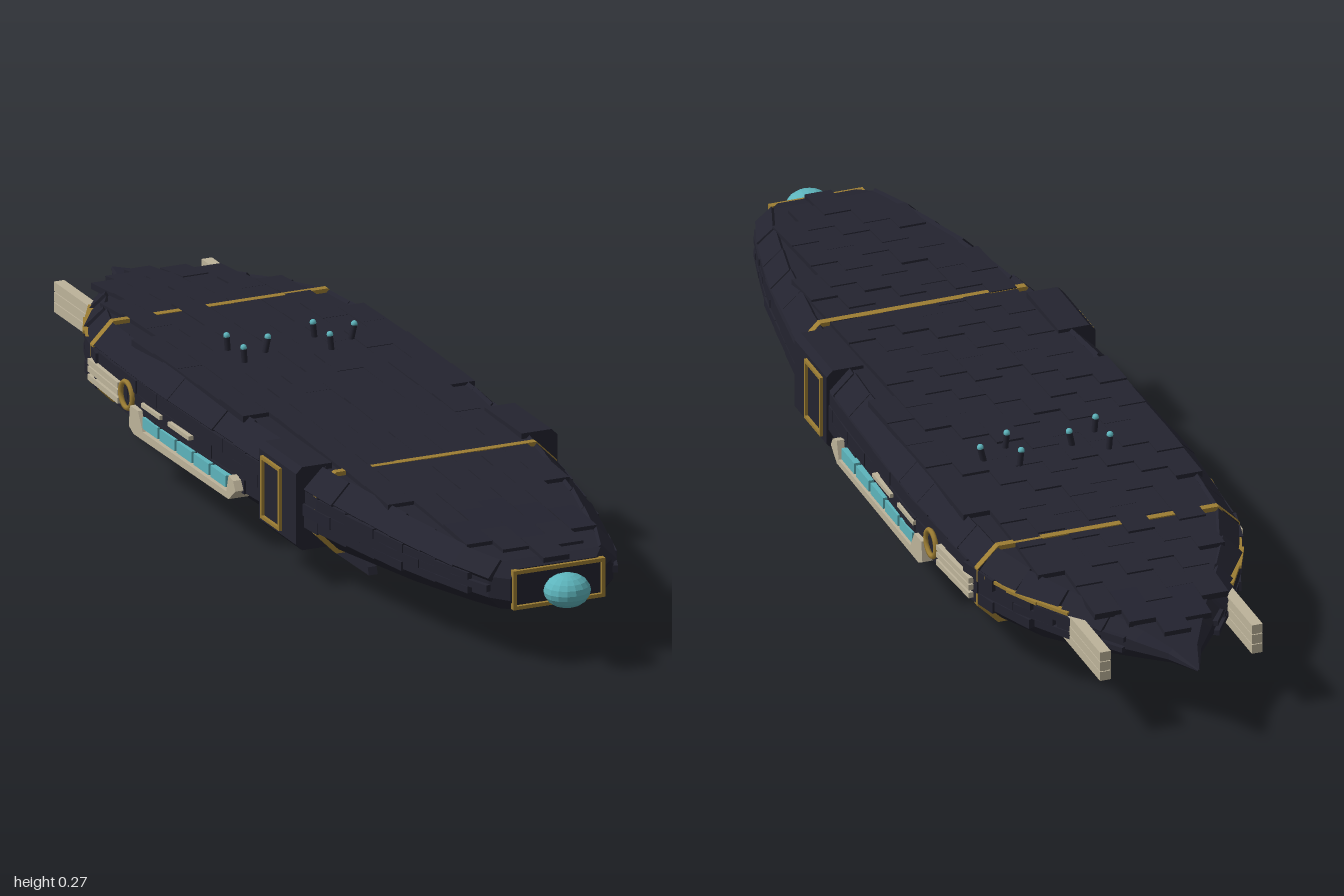
import * as THREE from 'three';
import { mergeGeometries } from 'three/addons/utils/BufferGeometryUtils.js';

const mat = (name, color) => Object.assign(new THREE.MeshStandardMaterial({ color }), { name });

// hull stations: z, half width, top, bottom, chamfer
const STATIONS = [
  [0.92, 0.095, 0.190, 0.112, 0.018], [0.89, 0.125, 0.197, 0.107, 0.025], [0.82, 0.150, 0.200, 0.102, 0.03],
  [0.65, 0.193, 0.210, 0.092, 0.034], [0.40, 0.233, 0.220, 0.080, 0.036], [0.10, 0.254, 0.228, 0.073, 0.038],
  [-0.25, 0.263, 0.229, 0.072, 0.038], [-0.54, 0.248, 0.219, 0.079, 0.036], [-0.66, 0.205, 0.208, 0.088, 0.034],
  [-0.78, 0.135, 0.196, 0.104, 0.028], [-0.87, 0.075, 0.180, 0.124, 0.018], [-0.93, 0.032, 0.166, 0.138, 0.008],
  [-1.00, 0.002, 0.153, 0.149, 0.001],
];

// interpolated section [half width, top, bottom, chamfer] at any z
function section(z) {
  let i = 0;
  while (i < STATIONS.length - 2 && z < STATIONS[i + 1][0]) i++;
  const a = STATIONS[i], b = STATIONS[i + 1];
  const t = THREE.MathUtils.clamp((a[0] - z) / (a[0] - b[0]), 0, 1);
  return [1, 2, 3, 4].map((k) => a[k] + (b[k] - a[k]) * t);
}
const slope = (z, k) => (section(z + 0.03)[k] - section(z - 0.03)[k]) / 0.06;

// octagon, anticlockwise seen from the front
function octagon([w, t, b, c], grow = 0) {
  w += grow; t += grow; b -= grow; c += grow * 0.6;
  return [[w, b + c], [w, t - c], [w - c, t], [c - w, t], [-w, t - c], [-w, b + c], [c - w, b], [w - c, b]]
    .map(([x, y]) => new THREE.Vector2(x, y));
}

function hullGeometry() {
  const rings = STATIONS.map((s) => octagon(s.slice(1)).map((p) => [p.x, p.y, s[0]]));
  const v = [];
  const tri = (...p) => p.forEach((q) => v.push(...q));
  for (let i = 0; i < rings.length - 1; i++) {
    for (let j = 0; j < 8; j++) {
      const k = (j + 1) % 8, f = rings[i], r = rings[i + 1];
      tri(f[j], r[j], r[k]);
      tri(f[j], r[k], f[k]);
    }
  }
  const nose = rings[0];
  for (let j = 1; j < 7; j++) tri(nose[0], nose[j], nose[j + 1]);
  const g = new THREE.BufferGeometry();
  g.setAttribute('position', new THREE.Float32BufferAttribute(v, 3));
  g.computeVertexNormals();
  return g;
}

// box placed with pitch, yaw and roll
function slab(size, pos, pitch = 0, yaw = 0, roll = 0) {
  const m = new THREE.Matrix4().makeRotationFromEuler(new THREE.Euler(pitch, yaw, roll, 'YXZ'));
  return new THREE.BoxGeometry(...size).applyMatrix4(m.setPosition(...pos));
}

// side profile of [z, y] points, extruded to thickness about x
function sideProfile(points, thickness, x) {
  const shape = new THREE.Shape(points.map(([z, y]) => new THREE.Vector2(z, y)));
  return new THREE.ExtrudeGeometry(shape, { depth: thickness, bevelEnabled: false })
    .translate(0, 0, -thickness / 2).rotateY(-Math.PI / 2).translate(x, 0, 0);
}

// rectangular frame of four bars in the xy plane
function frame(w, h, bar, depth) {
  return mergeGeometries([-1, 1].flatMap((s) => [
    slab([w, bar, depth], [0, s * (h - bar) / 2, 0]),
    slab([bar, h - 2 * bar, depth], [s * (w - bar) / 2, 0, 0]),
  ]));
}

export function createModel() {
  const dark = mat('dark hull', 0x23232f), gold = mat('gold trim', 0x9c7d33);
  const teal = mat('teal light', 0x5db4bc), bone = mat('pale metal', 0xbdb39a);
  const model = new THREE.Group();
  const add = (name, geometry, material) => {
    const mesh = new THREE.Mesh(geometry, material);
    mesh.name = name;
    model.add(mesh);
    return mesh;
  };
  let seed = 7;
  const rand = () => (seed = (seed * 16807) % 2147483647) / 2147483647;

  add('hull', hullGeometry(), dark);

  // staggered plates over the deck
  const deck = [];
  for (let i = -4; i <= 4; i++) {
    const x = i * 0.052;
    for (let z = 0.87 - (Math.abs(i) % 2) * 0.05 - rand() * 0.02; z > -0.86; z -= 0.095) {
      const [w, t, , c] = section(z);
      if (Math.abs(x) > w - c - 0.01) continue;
      deck.push(slab([0.052, 0.012, 0.1], [x, t + rand() * 0.003, z], -Math.atan(slope(z, 1)) + 0.02));
    }
  }
  add('deckPlates', mergeGeometries(deck), dark);

  // plates over the chamfers and sides
  const sides = [];
  for (const s of [-1, 1]) {
    for (let row = 0; row < 4; row++) {
      for (let z = 0.85 - (row % 2) * 0.045; z > -0.84; z -= 0.09) {
        const [w, t, b, c] = section(z), yaw = Math.atan(s * slope(z, 0)), out = rand() * 0.004;
        if (row === 0) {
          sides.push(slab([c * 1.5, 0.012, 0.094], [s * (w - c / 2 + out), t - c / 2, z],
            -Math.atan(slope(z, 1)), yaw, -s * Math.PI / 4));
        } else {
          const h = (t - b - 2 * c) / 3;
          sides.push(slab([0.014, h, 0.094], [s * (w + out), t - c - (row - 0.5) * h, z], 0, yaw));
        }
      }
    }
  }
  add('sidePlates', mergeGeometries(sides), dark);

  // gold bands round the hull
  for (const [name, z] of [['frontBand', 0.39], ['rearBand', -0.54]]) {
    const shape = new THREE.Shape(octagon(section(z), 0.008));
    shape.holes.push(new THREE.Path(octagon(section(z), -0.004).reverse()));
    add(name, new THREE.ExtrudeGeometry(shape, { depth: 0.014, bevelEnabled: false }).translate(0, 0, z - 0.007), gold);
  }

  // nose frame and lamp
  add('noseFrame', frame(0.184, 0.075, 0.007, 0.012).translate(0, 0.151, 0.921), gold);
  const lamp = new THREE.SphereGeometry(1, 16, 10).scale(0.044, 0.032, 0.04).toNonIndexed();
  lamp.computeVertexNormals();
  add('noseLamp', lamp.translate(0, 0.15, 0.96), teal);

  // disc under the belly
  const lathe = [[0, 0.064], [0.108, 0.064], [0.112, 0.055], [0.138, 0.055], [0.146, 0.062], [0.146, 0.08]];
  const disc = new THREE.LatheGeometry(lathe.map(([x, y]) => new THREE.Vector2(x, y)), 24).toNonIndexed();
  disc.computeVertexNormals();
  add('bellyDisc', disc.translate(0, 0, -0.07), dark);

  // dashed keel strip
  const keel = [[-0.23, -0.47], [-0.5, -0.66], [-0.69, -0.84]].map(([a, b]) => {
    const z = (a + b) / 2;
    return slab([0.01, 0.012, a - b], [0, section(z)[2] - 0.003, z], -Math.atan(slope(z, 2)));
  });
  add('keelStrip', mergeGeometries(keel), bone);

  for (const s of [1, -1]) {
    const side = s > 0 ? 'left' : 'right';

    // landing fin with a small light
    add(side + 'Fin', sideProfile([[0.35, 0.002], [0.21, 0], [0.08, 0.08], [0.25, 0.085], [0.345, 0.016]], 0.018, s * 0.105), dark);
    add(side + 'FinLight', slab([0.004, 0.035, 0.008], [s * 0.095, 0.055, 0.25]), teal);

    // door block and its frame
    const doorBlock = new THREE.Shape([[0.19, 0.072], [0.25, 0.072], [0.262, 0.084], [0.262, 0.22], [0.25, 0.232], [0.19, 0.232]]
      .map(([x, y]) => new THREE.Vector2(x, y)));
    const block = new THREE.ExtrudeGeometry(doorBlock, { depth: 0.16, bevelEnabled: false }).translate(0, 0, -0.08);
    if (s < 0) block.rotateY(Math.PI);
    add(side + 'DoorBlock', block.translate(0, 0, 0.275), dark);
    add(side + 'DoorFrame', frame(0.082, 0.12, 0.006, 0.008).rotateY(Math.PI / 2).translate(s * 0.264, 0.152, 0.253), gold);

    // side pod with a row of lights
    add(side + 'Pod', sideProfile([[0.13, 0.118], [0.12, 0.135], [0.1, 0.14], [0.09, 0.106], [-0.27, 0.106], [-0.29, 0.14],
      [-0.325, 0.14], [-0.33, 0.1], [-0.31, 0.09], [0.1, 0.094]], 0.04, s * 0.259), bone);
    const lights = [];
    for (let i = 0; i < 5; i++) lights.push(slab([0.03, 0.022, 0.064], [s * 0.262, 0.122, 0.05 - i * 0.073]));
    add(side + 'PodLights', mergeGeometries(lights), teal);
    add(side + 'UpperRods', mergeGeometries([[-0.12, 0.09], [-0.24, 0.08]]
      .map(([z, l]) => slab([0.02, 0.008, l], [s * 0.268, 0.155, z]))), bone);

    // port ring and aft conduits
    add(side + 'PortRing', new THREE.TorusGeometry(0.025, 0.005, 6, 20).rotateY(Math.PI / 2).translate(s * 0.272, 0.15, -0.355), gold);
    add(side + 'AftConduits', mergeGeometries([0.128, 0.144, 0.158]
      .map((y) => slab([0.02, 0.011, 0.145], [s * 0.261, y, -0.46], 0, -s * -0.05))), bone);

    // gold line along the tail
    const line = [-0.6, -0.66, -0.72].map((z) =>
      slab([0.014, 0.006, 0.075], [s * (section(z)[0] + 0.005), 0.178, z], 0, Math.atan(s * slope(z, 0))));
    add(side + 'TailLine', mergeGeometries(line), gold);

    // grooved tail fin
    const bars = [0.126, 0.146, 0.166].map((y) => slab([0.021, 0.018, 0.195], [s * 0.148, y, -0.815]));
    bars.push(slab([0.014, 0.05, 0.19], [s * 0.148, 0.146, -0.815]));
    add(side + 'TailFin', mergeGeometries(bars), bone);
  }

  // leaning masts with lit tips: base x, tip x, z
  const masts = [[-0.104, -0.107, -0.205], [-0.104, -0.107, -0.278], [-0.05, -0.042, -0.24],
    [0.07, 0.066, -0.205], [0.07, 0.066, -0.278], [0.122, 0.131, -0.24]];
  masts.forEach(([bx, tx, z]) => {
    const curve = new THREE.LineCurve3(new THREE.Vector3(bx, 0.225, z), new THREE.Vector3(tx, 0.262, z));
    add('mast', new THREE.TubeGeometry(curve, 1, 0.006, 8), dark);
    add('mastTip', new THREE.SphereGeometry(0.0065, 8, 6).translate(tx, 0.264, z), teal);
  });
  return model;
}
